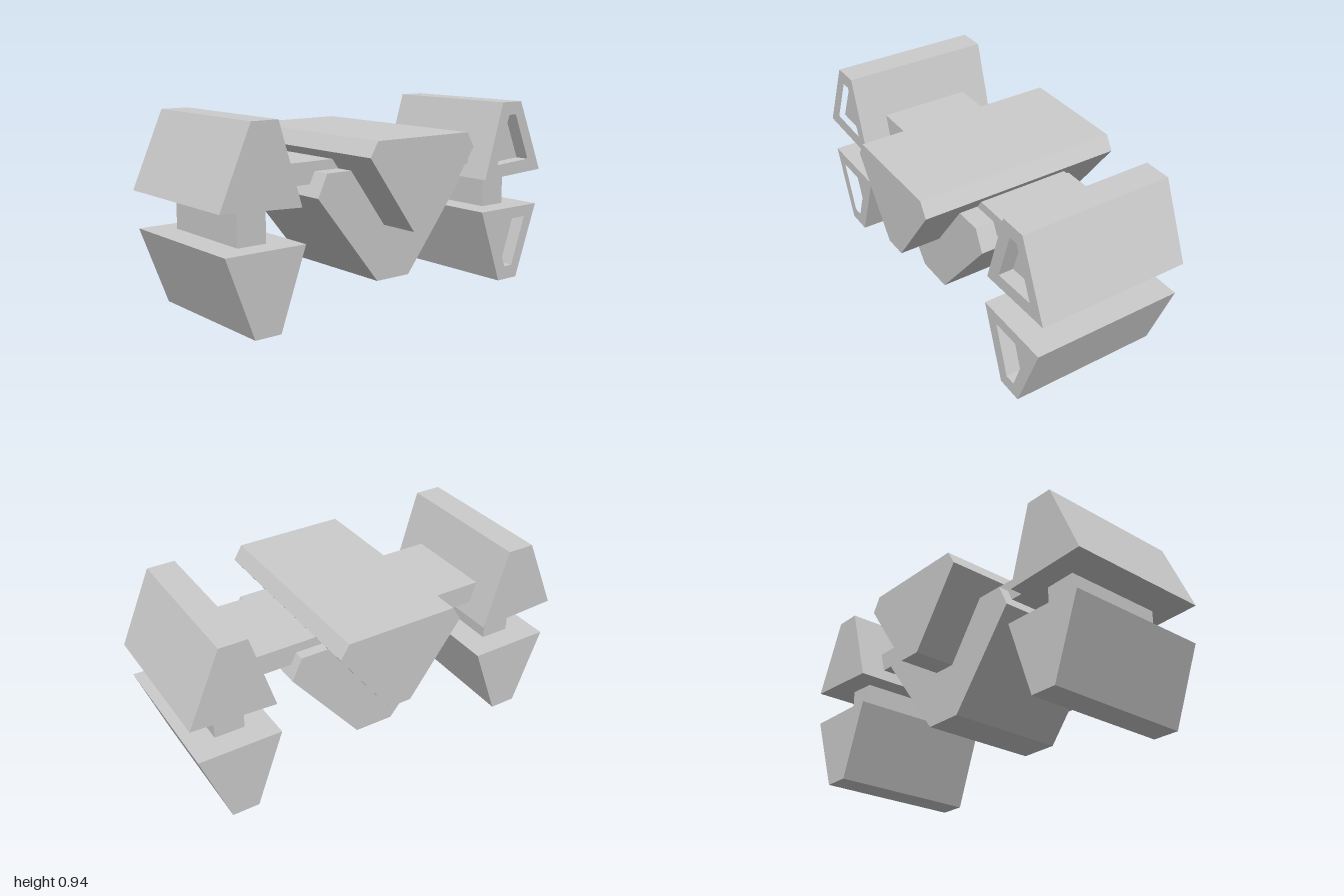
import * as THREE from 'three';

const material = new THREE.MeshStandardMaterial({ color: 0xcccccc, flatShading: true });

// Extrude a front outline between two z positions, optionally with a hole
function prism(name, points, z0, z1, hole) {
  const toVectors = (list) => list.map(([x, y]) => new THREE.Vector2(x, y));
  const shape = new THREE.Shape(toVectors(points));
  if (hole) shape.holes.push(new THREE.Path(toVectors(hole)));
  const geometry = new THREE.ExtrudeGeometry(shape, { depth: z1 - z0, bevelEnabled: false });
  geometry.translate(0, 0, z0);
  const mesh = new THREE.Mesh(geometry, material);
  mesh.name = name;
  return mesh;
}

const rect = (x0, x1, y0, y1) => [[x0, y0], [x1, y0], [x1, y1], [x0, y1]];

// Pod with a shallow recess in its front end
function pod(name, outline, recess) {
  const back = -0.4, front = 0.365, depth = 0.075;
  const group = new THREE.Group();
  group.name = name;
  group.add(
    prism(name + 'Block', outline, back, front - depth),
    prism(name + 'Rim', outline, front - depth, front, recess)
  );
  return group;
}

export function createModel() {
  const model = new THREE.Group();
  model.name = 'craft';

  // Central hull: long upper wedge nested in a shorter, wider lower wedge
  model.add(
    prism('upperHull', [[-0.06, 0.395], [0.06, 0.395], [0.323, 0.76], [0.28, 0.832], [-0.28, 0.832], [-0.323, 0.76]], -0.52, 0.52),
    prism('lowerHull', [[-0.1, 0.125], [0.1, 0.125], [0.452, 0.565], [0.4, 0.675], [-0.4, 0.675], [-0.452, 0.565]], -0.31, 0.31),
    prism('crossWing', rect(-0.633, 0.633, 0.617, 0.722), -0.255, 0.215)
  );

  // Paired pods and the struts joining them, mirrored to both sides
  for (const [side, s] of [['left', 1], ['right', -1]]) {
    const mirror = (points) => points.map(([x, y]) => [s * x, y]);
    model.add(
      pod(side + 'UpperPod',
        mirror([[0.58, 0.55], [1.0, 0.57], [0.838, 0.942], [0.7, 0.942]]),
        mirror([[0.67, 0.62], [0.903, 0.633], [0.8, 0.875], [0.75, 0.875]])),
      pod(side + 'LowerPod',
        mirror([[0.7, 0], [0.836, 0], [0.978, 0.384], [0.562, 0.384]]),
        mirror([[0.745, 0.07], [0.8, 0.07], [0.89, 0.324], [0.655, 0.324]])),
      prism(side + 'PodStrut', mirror(rect(0.692, 0.842, 0.36, 0.6)), -0.28, 0.245)
    );
  }
  return model;
}
